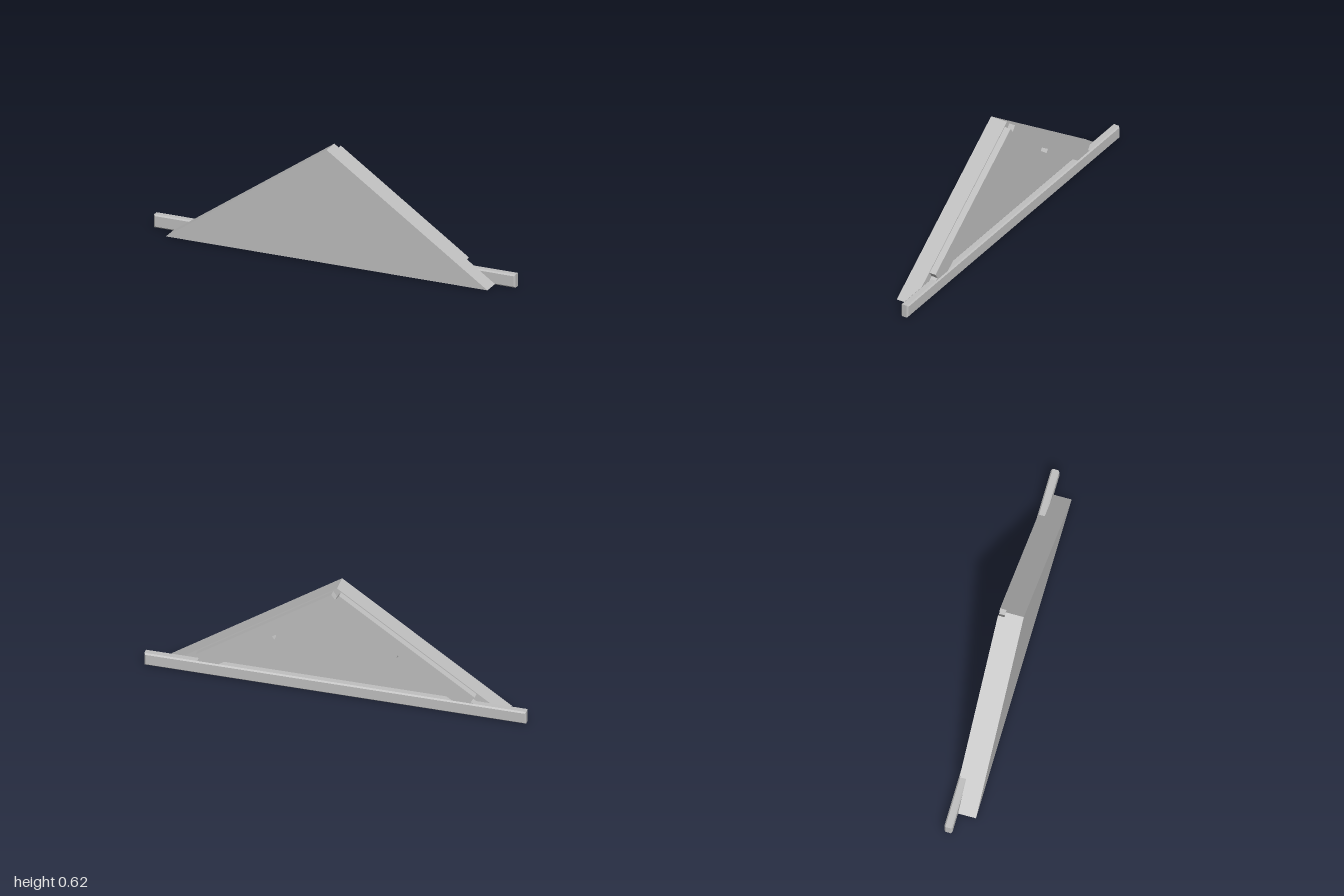
import * as THREE from 'three';

const APEX = 0.622, BASE = 0.005, HALF = 0.89;
const angle = Math.atan2(APEX - BASE, HALF);
const C = Math.cos(angle), S = Math.sin(angle);

// Point u along the slope from the apex and v inward from it
const onSlope = (u, v) => [C * u - S * v, APEX - S * u - C * v];
const mitre = v => v * S / C;                       // u where x = 0
const atHeight = (y, v) => (APEX - y - C * v) / S;  // u where the height is y

// Flat outline extruded from z0 to z1
function slab(points, z0, z1, material, name) {
  const shape = new THREE.Shape(points.map(([x, y]) => new THREE.Vector2(x, y)));
  const geometry = new THREE.ExtrudeGeometry(shape, { depth: z1 - z0, bevelEnabled: false });
  geometry.translate(0, 0, z0);
  const mesh = new THREE.Mesh(geometry, material);
  mesh.name = name;
  return mesh;
}

export function createModel() {
  const group = new THREE.Group();
  group.name = 'gable';
  const grey = new THREE.MeshStandardMaterial({ color: 0xc0c0c0 });
  grey.name = 'light grey';

  // Triangular panel
  group.add(slab([[-HALF, BASE], [HALF, BASE], [0, APEX]], -0.025, 0.07, grey, 'gablePanel'));

  // Sloping rails on the back, mirrored
  const outer = 0.005, mid = 0.041, inner = 0.082, thick = 0.104;
  const rail = [[0.028, outer], [0.8915, outer], [0.8915, mid], [0.028, mid]];
  const batten = [
    [mitre(mid), mid], [atHeight(0.03, mid), mid], [atHeight(0.03, thick), thick],
    [0.46, thick], [0.46, inner], [mitre(inner), inner],
  ];
  for (const [side, label] of [[1, 'left'], [-1, 'right']]) {
    const place = list => list.map(([u, v]) => {
      const [x, y] = onSlope(u, v);
      return [side * x, y];
    });
    group.add(slab(place(rail), -0.06, -0.025, grey, label + 'OuterRail'));
    group.add(slab(place(batten), -0.06, -0.025, grey, label + 'InnerBatten'));
  }

  // Long bottom beam with chamfered edges
  const b = 0.007, w = 1 - b, y0 = b, y1 = 0.071 - b, depth = 0.043 - 2 * b;
  const outline = new THREE.Shape([
    [-w + b, y0 - b + b], [w, y0], [w, y1], [-w, y1], [-w, y0],
  ].slice(1).map(([x, y]) => new THREE.Vector2(x, y)));
  const beamGeometry = new THREE.ExtrudeGeometry(outline, {
    depth, bevelEnabled: true, bevelSegments: 1, bevelSize: b, bevelThickness: b,
  });
  beamGeometry.translate(0, 0, -0.067 + b);
  const beam = new THREE.Mesh(beamGeometry, grey);
  beam.name = 'bottomBeam';
  group.add(beam);

  return group;
}
